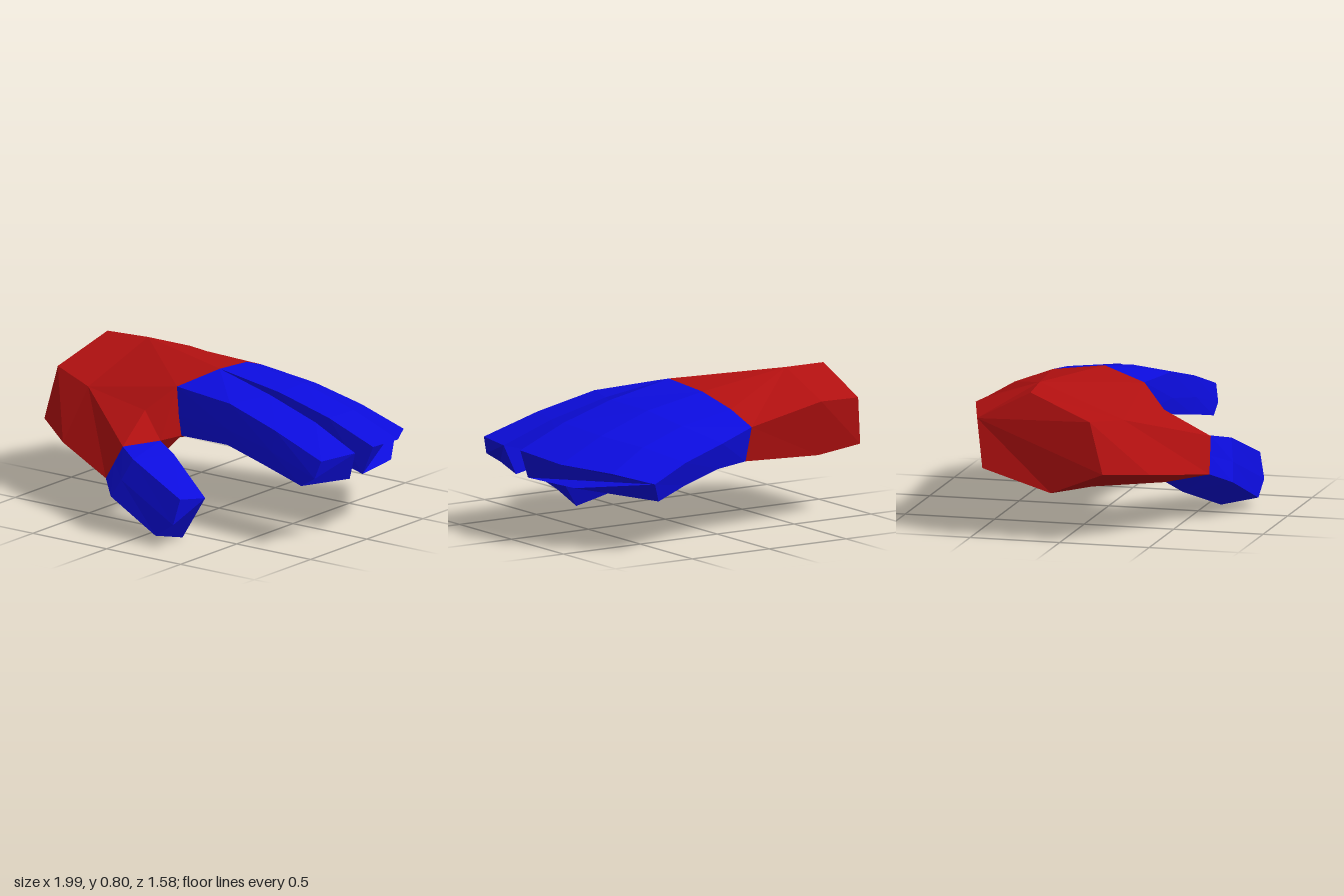
import * as THREE from 'three';

const red = new THREE.MeshStandardMaterial({ color: 0xb01010, flatShading: true });
const blue = new THREE.MeshStandardMaterial({ color: 0x0c0cdc, flatShading: true });

// Flat-shaded mesh from polygons, each a counterclockwise list of points
function polyMesh(name, polygons, material) {
  const pos = [];
  for (const p of polygons)
    for (let i = 1; i < p.length - 1; i++) pos.push(...p[0], ...p[i], ...p[i + 1]);
  const geo = new THREE.BufferGeometry();
  geo.setAttribute('position', new THREE.Float32BufferAttribute(pos, 3));
  geo.computeVertexNormals();
  const mesh = new THREE.Mesh(geo, material);
  mesh.name = name;
  return mesh;
}

// Side polygons joining successive rings that advance toward +x
function loft(rings) {
  const out = [];
  for (let r = 0; r < rings.length - 1; r++) {
    const a = rings[r], b = rings[r + 1], n = a.length;
    for (let i = 0; i < n; i++) {
      const j = (i + 1) % n;
      out.push([a[i], a[j], b[j]], [a[i], b[j], b[i]]);
    }
  }
  return out;
}

// Finger: loft with a closed tip
const finger = (name, rings) => polyMesh(name, [...loft(rings), rings[rings.length - 1]], blue);

export function createModel() {
  const hand = new THREE.Group();
  hand.name = 'hand';

  // Knuckle line, upper (K) and lower (L), from little finger to index
  const K0 = [-0.13, 0.6, -0.64], K1 = [-0.09, 0.68, -0.5], K2 = [-0.04, 0.75, -0.3];
  const K3 = [-0.01, 0.78, -0.02], K4 = [-0.11, 0.72, 0.23];
  const L0 = [-0.11, 0.41, -0.61], L2 = [-0.03, 0.42, -0.3], L3 = [0.03, 0.44, -0.03], L4 = [-0.08, 0.45, 0.23];
  // Web between thumb and index, then the thumb base
  const web = [-0.22, 0.6, 0.37];
  const tTop = [-0.18, 0.46, 0.62], tOut = [-0.28, 0.27, 0.64], tLow = [-0.26, 0.21, 0.39], tIn = [-0.1, 0.455, 0.39];

  // Palm: wrist ring, middle ring, then patches to the knuckles and thumb
  const wrist = [[-0.9, 0.8, -0.19], [-0.97, 0.67, 0.16], [-1, 0.39, 0.24],
    [-0.96, 0.265, -0.06], [-0.97, 0.385, -0.44], [-0.93, 0.65, -0.48]];
  const middle = [[-0.64, 0.805, -0.21], [-0.68, 0.63, 0.27], [-0.73, 0.345, 0.43],
    [-0.66, 0.25, 0.09], [-0.66, 0.365, -0.495], [-0.63, 0.675, -0.57]];
  const [mT, mF, mO, mB, mL, mU] = middle;
  hand.add(polyMesh('palm', [
    [...wrist].reverse(), ...loft([wrist, middle]),
    [mT, K2, K1, K0, mU], [mT, K3, K2], [mT, mF, K4, K3], [mF, web, K4], [mF, tTop, web],
    [mF, mO, tOut, tTop], [mO, mB, tLow, tOut],
    [mB, mL, L2], [mB, L2, L3], [mB, L3, L4], [mB, L4, tLow], [mL, L0, L2], [mL, mU, K0, L0],
    [tLow, L4, tIn], [K4, web, tIn, L4], [web, tTop, tIn],
  ], red));

  // Three joined fingers
  hand.add(finger('joinedFingers', [
    [K0, K1, K2, K3, L3, L2, L0],
    [[0.1, 0.545, -0.7], [0.25, 0.63, -0.53], [0.33, 0.69, -0.32], [0.38, 0.71, -0.04],
      [0.36, 0.47, -0.04], [0.32, 0.44, -0.32], [0.1, 0.4, -0.66]],
    [[0.38, 0.48, -0.76], [0.53, 0.55, -0.57], [0.65, 0.59, -0.345], [0.7, 0.62, -0.055],
      [0.66, 0.42, -0.045], [0.61, 0.395, -0.36], [0.35, 0.345, -0.71]],
    [[0.6, 0.39, -0.79], [0.77, 0.44, -0.63], [0.93, 0.467, -0.37], [0.99, 0.503, -0.07],
      [0.93, 0.345, -0.055], [0.86, 0.335, -0.4], [0.55, 0.285, -0.75]],
  ]));

  // Index finger
  hand.add(finger('indexFinger', [
    [K3, K4, [-0.1, 0.56, 0.235], L4, L3],
    [[0.37, 0.71, 0.03], [0.28, 0.7, 0.27], [0.27, 0.56, 0.285], [0.27, 0.47, 0.28], [0.33, 0.465, 0]],
    [[0.7, 0.62, 0.06], [0.62, 0.615, 0.31], [0.6, 0.5, 0.325], [0.55, 0.415, 0.32], [0.64, 0.415, 0.03]],
    [[0.99, 0.505, 0.09], [0.95, 0.508, 0.34], [0.92, 0.41, 0.36], [0.83, 0.355, 0.36], [0.93, 0.345, 0.06]],
  ]));

  // Thumb
  hand.add(finger('thumb', [
    [tIn, tTop, [-0.23, 0.365, 0.63], tOut, tLow],
    [[0.02, 0.41, 0.43], [-0.05, 0.43, 0.7], [-0.11, 0.31, 0.725], [-0.17, 0.21, 0.74], [-0.05, 0.115, 0.43]],
    [[0.34, 0.25, 0.57], [0.315, 0.28, 0.76], [0.29, 0.14, 0.79], [0.17, 0.06, 0.79], [0.19, 0.005, 0.575]],
  ]));

  return hand;
}
